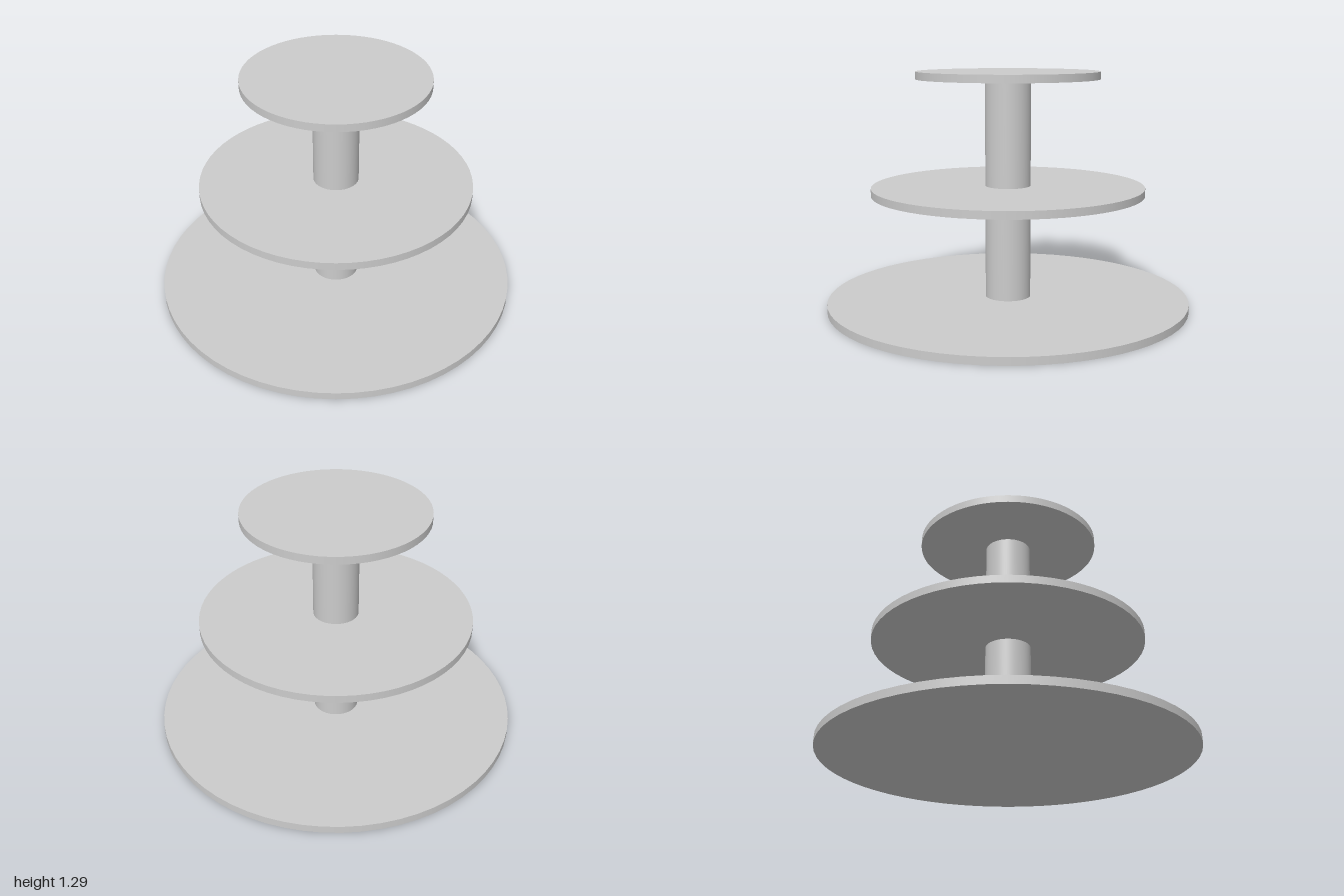
import * as THREE from 'three';

export function createModel() {
  const group = new THREE.Group();
  group.name = 'tieredStand';
  const material = new THREE.MeshStandardMaterial({ color: 0xcccccc });
  const thickness = 0.0417;
  const spacing = 0.626;

  // Upright disc or post, standing on the given height
  function addCylinder(name, radius, height, bottom) {
    const mesh = new THREE.Mesh(new THREE.CylinderGeometry(radius, radius, height, 64), material);
    mesh.name = name;
    mesh.position.y = bottom + height / 2;
    group.add(mesh);
  }

  // Three round tiers, shrinking upwards
  const tiers = [['bottomTier', 1], ['middleTier', 0.75], ['topTier', 0.5]];
  tiers.forEach(([name, radius], i) => addCylinder(name, radius, thickness, i * spacing));

  // Posts between the tiers
  ['lowerPost', 'upperPost'].forEach((name, i) =>
    addCylinder(name, 0.125, spacing - thickness, i * spacing + thickness));

  return group;
}
